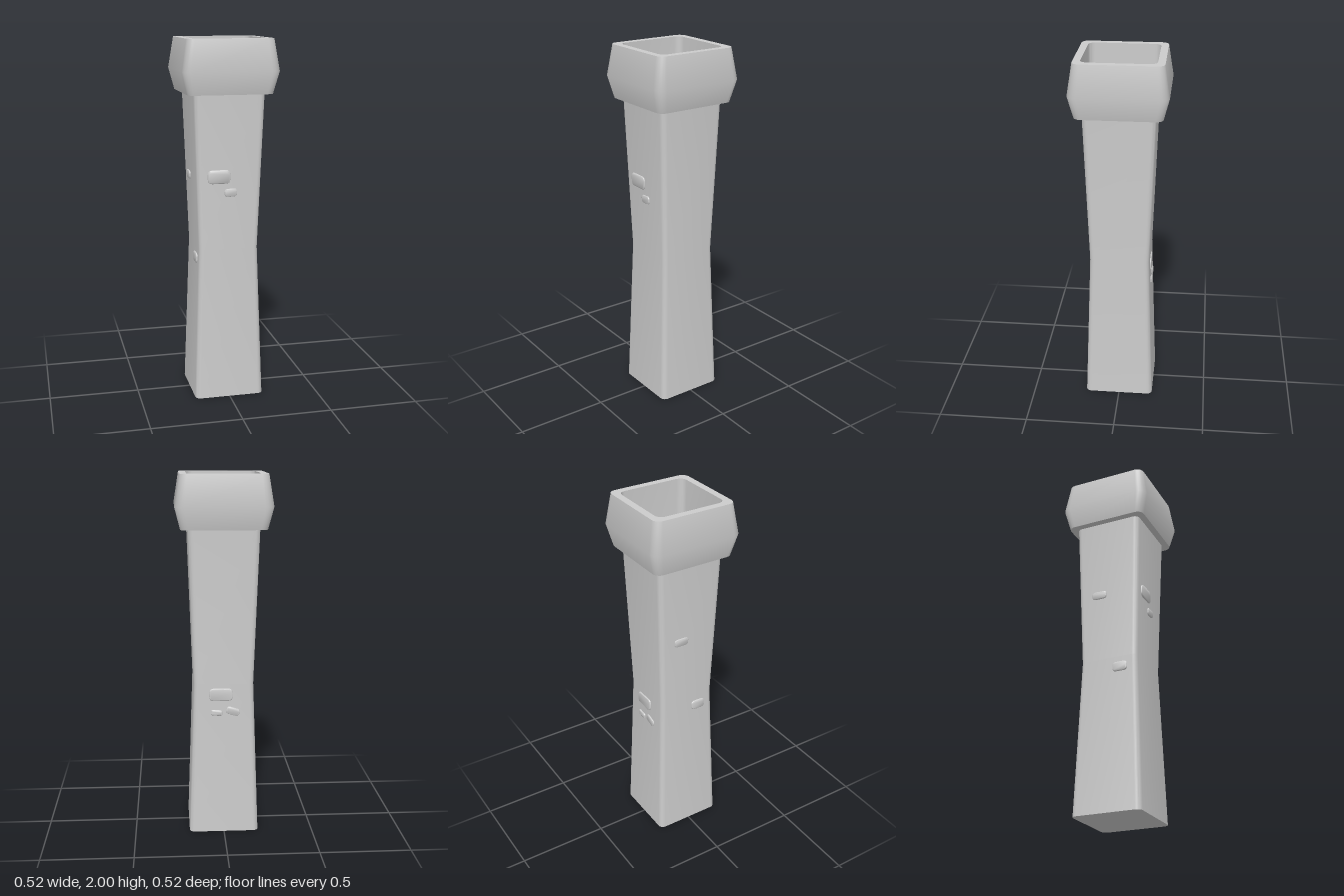
import * as THREE from 'three';
import { toCreasedNormals } from 'three/addons/utils/BufferGeometryUtils.js';

const material = new THREE.MeshStandardMaterial({ color: 0xcccccc });
const WAIST_Y = 0.86, SHAFT_TOP = 1.71, WAIST = 0.165, END = 0.194;
const CORNER_STEPS = 5;

// Outline of a rounded square, running from +x towards +z
function roundedSquare(half, radius) {
  const points = [];
  for (let c = 0; c < 4; c++) {
    const mid = Math.PI / 4 + c * Math.PI / 2;
    const cx = Math.sign(Math.cos(mid)) * (half - radius);
    const cz = Math.sign(Math.sin(mid)) * (half - radius);
    for (let i = 0; i <= CORNER_STEPS; i++) {
      const a = (c + i / CORNER_STEPS) * Math.PI / 2;
      points.push([cx + radius * Math.cos(a), cz + radius * Math.sin(a)]);
    }
  }
  return points;
}

// Skin over stacked rounded squares given as [half width, y, corner radius]
function loft(sections) {
  const positions = [], index = [];
  const n = 4 * (CORNER_STEPS + 1);
  for (const [half, y, radius] of sections) {
    for (const [x, z] of roundedSquare(half, radius)) positions.push(x, y, z);
  }
  for (let s = 0; s < sections.length - 1; s++) {
    for (let i = 0; i < n; i++) {
      const a = s * n + i, b = s * n + (i + 1) % n;
      index.push(a, a + n, b, b, a + n, b + n);
    }
  }
  const geometry = new THREE.BufferGeometry();
  geometry.setAttribute('position', new THREE.Float32BufferAttribute(positions, 3));
  geometry.setIndex(index);
  return toCreasedNormals(geometry, 0.6);
}

// Half width of the shaft at a given height
function shaftHalf(y) {
  const t = y < WAIST_Y ? (WAIST_Y - y) / WAIST_Y : (y - WAIST_Y) / (SHAFT_TOP - WAIST_Y);
  return WAIST + (END - WAIST) * t;
}

// Low rounded stone with softened edges, facing +z
function stoneGeometry(w, h) {
  const bevel = 0.005, r = Math.min(w, h) * 0.28;
  const x = w / 2 - bevel, y = h / 2 - bevel;
  const shape = new THREE.Shape();
  shape.moveTo(-x + r, -y);
  shape.lineTo(x - r, -y).quadraticCurveTo(x, -y, x, -y + r);
  shape.lineTo(x, y - r).quadraticCurveTo(x, y, x - r, y);
  shape.lineTo(-x + r, y).quadraticCurveTo(-x, y, -x, y - r);
  shape.lineTo(-x, -y + r).quadraticCurveTo(-x, -y, -x + r, -y);
  const geometry = new THREE.ExtrudeGeometry(shape, {
    depth: 0.014, bevelSize: bevel, bevelThickness: bevel, bevelSegments: 3, curveSegments: 4,
  });
  geometry.translate(0, 0, -0.012);
  return toCreasedNormals(geometry, 0.8);
}

export function createModel() {
  const group = new THREE.Group();
  const add = (name, geometry, parent = group) => {
    const mesh = new THREE.Mesh(geometry, material);
    mesh.name = name;
    parent.add(mesh);
    return mesh;
  };

  // Closed shaft, narrowing to a waist
  add('shaft', loft([
    [0.0001, 0, 0], [END, 0, 0.03], [WAIST, WAIST_Y, 0.026],
    [END, SHAFT_TOP, 0.03], [0.0001, SHAFT_TOP, 0],
  ]));

  // Hollow head with a bulging outside and a flat rim
  add('head', loft([
    [0.18, 1.71, 0.03], [0.232, 1.71, 0.04], [0.262, 1.83, 0.05],
    [0.235, 2, 0.04], [0.196, 2, 0.038], [0.196, 1.712, 0.038], [0.0001, 1.712, 0],
  ]));

  // Raised stones: face turn, offset along the face, height, width, height, tilt
  const FRONT = 0, BACK = Math.PI, RIGHT = -Math.PI / 2;
  const stones = [
    [FRONT, -0.058, 1.267, 0.125, 0.075, 0],
    [FRONT, 0.008, 1.178, 0.07, 0.045, 0.06],
    [BACK, -0.016, 0.8, 0.13, 0.07, 0],
    [BACK, -0.04, 0.697, 0.065, 0.032, -0.1],
    [BACK, 0.05, 0.705, 0.075, 0.042, -0.3],
    [RIGHT, -0.05, 1.25, 0.085, 0.045, 0],
    [RIGHT, 0.07, 0.8, 0.085, 0.055, 0],
  ];
  for (const [turn, offset, y, w, h, tilt] of stones) {
    const face = new THREE.Group();
    face.name = 'stoneFace';
    face.rotation.y = turn;
    group.add(face);
    const stone = add('stone', stoneGeometry(w, h), face);
    stone.position.set(offset, y, shaftHalf(y));
    // Lean with the sloping wall
    const slope = (shaftHalf(y + 0.01) - shaftHalf(y - 0.01)) / 0.02;
    stone.rotation.set(Math.atan(slope), 0, tilt);
  }
  return group;
}
